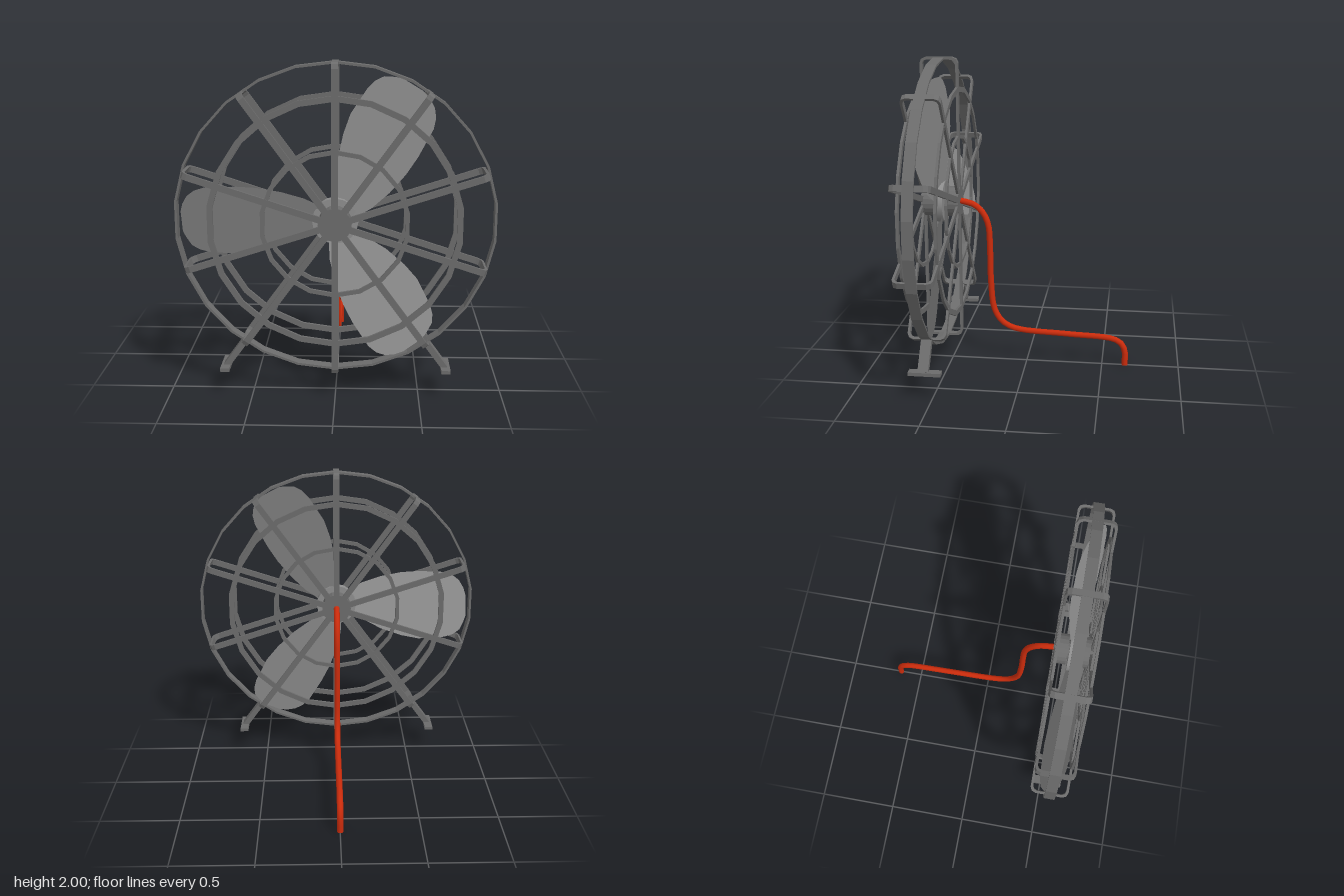
import * as THREE from 'three';

const CY = 1.08, CZ = 0.55, DEPTH = 0.12; // fan axis height, depth centre, half cage depth

const mat = (name, color, extra = {}) => {
  const m = new THREE.MeshStandardMaterial({ color, ...extra });
  m.name = name;
  return m;
};

function add(parent, name, geometry, material) {
  const mesh = new THREE.Mesh(geometry, material);
  mesh.name = name;
  parent.add(mesh);
  return mesh;
}

// Rectangular-section polygonal ring around the z axis
function ringGeometry(outer, inner, halfDepth, sides) {
  const p = [[outer, -halfDepth], [outer, halfDepth], [inner, halfDepth], [inner, -halfDepth], [outer, -halfDepth]];
  return new THREE.LatheGeometry(p.map(([x, y]) => new THREE.Vector2(x, y)), sides).rotateX(Math.PI / 2);
}

function drumGeometry(radius, depth, sides) {
  return new THREE.CylinderGeometry(radius, radius, depth, sides).rotateX(Math.PI / 2);
}

// Chamfered wire loop running from the hub to the rim, front and back
function spokeGeometry() {
  const trace = (path, r, d, c) => {
    path.moveTo(0.02, -d);
    path.lineTo(r - c, -d);
    path.lineTo(r - c * 0.3, -d + c * 0.3);
    path.lineTo(r, -d + c);
    path.lineTo(r, d - c);
    path.lineTo(r - c * 0.3, d - c * 0.3);
    path.lineTo(r - c, d);
    path.lineTo(0.02, d);
    path.closePath();
    return path;
  };
  const shape = trace(new THREE.Shape(), 0.92, DEPTH, 0.035);
  shape.holes.push(trace(new THREE.Path(), 0.905, DEPTH - 0.015, 0.028));
  const w = 0.038;
  return new THREE.ExtrudeGeometry(shape, { depth: w, bevelEnabled: false })
    .translate(0, 0, -w / 2).rotateX(Math.PI / 2);
}

// Pitched blade lofted from stations of [radius, low edge, high edge]
function bladeGeometry() {
  const stations = [
    [0.06, -0.08, 0.05], [0.18, -0.14, 0.10], [0.31, -0.18, 0.165], [0.45, -0.205, 0.21], [0.57, -0.212, 0.232],
    [0.75, -0.205, 0.222], [0.81, -0.185, 0.205], [0.855, -0.15, 0.175], [0.885, -0.10, 0.12], [0.9, -0.05, 0.08],
  ];
  const across = 6;
  const g = new THREE.PlaneGeometry(1, 1, across, stations.length - 1);
  const pos = g.attributes.position;
  stations.forEach(([r, lo, hi], i) => {
    for (let j = 0; j <= across; j++) {
      const v = lo + (hi - lo) * j / across;
      pos.setXYZ(i * (across + 1) + j, r, v, -0.34 * v);
    }
  });
  g.computeVertexNormals();
  return g;
}

export function createModel() {
  const model = new THREE.Group();
  model.name = 'fan';
  const steel = mat('cage grey', 0x6c6c6c, { flatShading: true });
  const bladeGrey = mat('blade grey', 0x8e8e8e, { side: THREE.DoubleSide });
  const red = mat('cable red', 0xcc2c0c);

  const head = new THREE.Group();
  head.name = 'fanHead';
  head.position.set(0, CY, CZ);
  model.add(head);

  // Cage: ten wire loops, a wide rim band and two pairs of rings
  const spoke = spokeGeometry();
  for (let i = 0; i < 10; i++) {
    add(head, 'spoke', spoke, steel).rotation.z = Math.PI / 2 + i * Math.PI / 5;
  }
  add(head, 'rim', ringGeometry(0.94, 0.926, 0.033, 26), steel).scale.y = 0.92 / 0.94;
  for (const side of [-1, 1]) {
    const z = side * (DEPTH - 0.009);
    add(head, 'middleRing', ringGeometry(0.738, 0.704, 0.008, 22), steel).position.z = z;
    add(head, 'innerRing', ringGeometry(0.433, 0.408, 0.008, 18), steel).position.z = z;
    // Hub drums at front and back
    add(head, 'hubDrum', drumGeometry(0.097, 0.085, 20), steel).position.z = side * (DEPTH - 0.0425);
  }
  add(head, 'motorShaft', drumGeometry(0.06, 0.16, 16), steel);

  // Propeller
  const propeller = new THREE.Group();
  propeller.name = 'propeller';
  head.add(propeller);
  add(propeller, 'bladeHub', drumGeometry(0.135, 0.05, 16), bladeGrey);
  const blade = bladeGeometry();
  for (let i = 0; i < 3; i++) {
    add(propeller, 'blade', blade, bladeGrey).rotation.z = Math.PI + i * Math.PI * 2 / 3;
  }

  // Splayed legs with crosswise feet
  for (const side of [-1, 1]) {
    const angle = -Math.PI / 2 + side * Math.PI / 5;
    const leg = add(head, 'leg', new THREE.BoxGeometry(0.215, 0.036, 0.065), steel);
    leg.position.set(Math.cos(angle) * 1.0125, Math.sin(angle) * 1.0125, 0);
    leg.rotation.z = angle;
    add(model, 'foot', new THREE.BoxGeometry(0.055, 0.022, 0.2), steel).position.set(side * 0.66, 0.172, 0.54);
  }

  // Power cable: [z, y] points from the hub back to the floor
  const path = [
    [0.43, 1.085], [0.34, 1.06], [0.28, 1.0], [0.25, 0.92], [0.242, 0.8], [0.237, 0.55], [0.217, 0.36], [0.17, 0.275],
    [0.11, 0.235], [0.03, 0.215], [-0.28, 0.198], [-0.57, 0.178], [-0.622, 0.15], [-0.648, 0.1], [-0.65, 0],
  ];
  const curve = new THREE.CatmullRomCurve3(path.map(([z, y]) => new THREE.Vector3(0, y, z)));
  add(model, 'cable', new THREE.TubeGeometry(curve, 48, 0.02, 8), red);
  add(model, 'cableEnd', new THREE.CircleGeometry(0.02, 8).rotateX(Math.PI / 2), red).position.set(0, 0, -0.65);

  return model;
}
